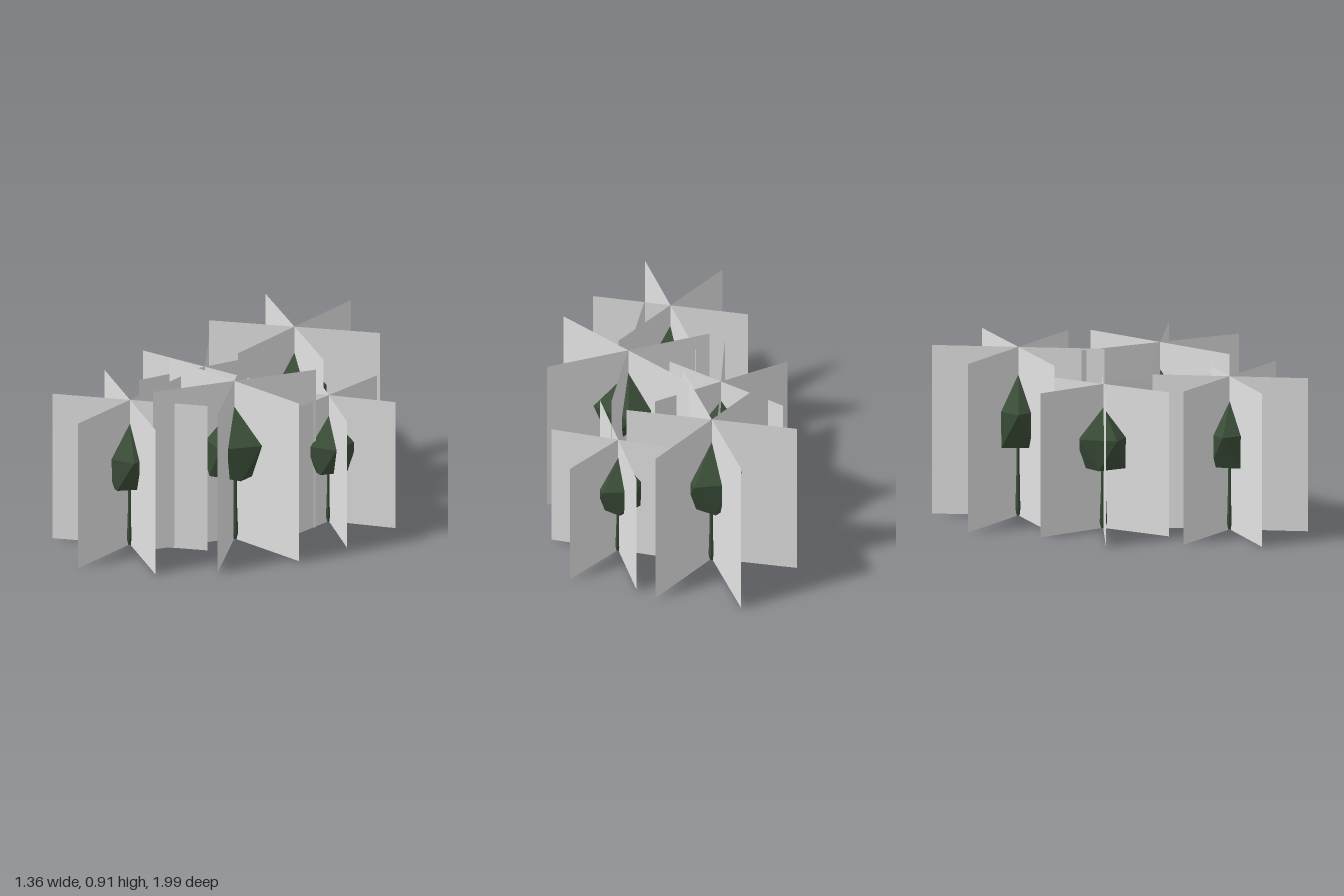
import * as THREE from 'three';

const leafGreen = new THREE.MeshStandardMaterial({ color: 0x3a4d38, flatShading: true });
leafGreen.name = 'leafGreen';
const cardGrey = new THREE.MeshStandardMaterial({ color: 0xe2e2e2, side: THREE.DoubleSide });
cardGrey.name = 'cardGrey';

// Each tree: centre x, z, base y, card height, turn in degrees
const TREES = [
  [-0.085, -0.546, 0.01, 0.908, 29.3],
  [0.354, -0.317, 0.01, 0.72, 33.4],
  [-0.296, -0.077, 0.007, 0.776, 292],
  [0.13, 0.177, 0.01, 0.9, 0],
  [-0.241, 0.582, 0.003, 0.825, 330],
];

// Five-sided crown: peak, wide ring, and a narrower lower ring turned half a step
function crownGeometry() {
  const n = 5, pos = [0, 0.836, 0], idx = [];
  const ring = (r, y, turn) => {
    for (let i = 0; i < n; i++) {
      const a = ((i + turn) / n) * Math.PI * 2;
      pos.push(Math.cos(a) * r, y, Math.sin(a) * r);
    }
  };
  ring(0.2135, 0.648, 0);
  ring(0.168, 0.434, 0.5);
  pos.push(0, 0.434, 0);
  for (let i = 0; i < n; i++) {
    const j = (i + 1) % n;
    const a = 1 + i, b = 1 + j, c = 1 + n + i, d = 1 + n + j;
    idx.push(0, b, a, a, b, c, c, b, d, c, d, 1 + 2 * n);
  }
  const indexed = new THREE.BufferGeometry();
  indexed.setAttribute('position', new THREE.Float32BufferAttribute(pos, 3));
  indexed.setIndex(idx);
  const g = indexed.toNonIndexed();
  g.computeVertexNormals();
  return g;
}

// Slim trunk, swelling near the ground
function trunkGeometry() {
  const profile = [[0, 0], [0.02, 0.003], [0.033, 0.045], [0.03, 0.12], [0.023, 0.25], [0.021, 0.44]];
  return new THREE.LatheGeometry(profile.map(([r, y]) => new THREE.Vector2(r, y)), 6);
}

export function createModel() {
  const model = new THREE.Group();
  model.name = 'treeGrove';
  const crownGeo = crownGeometry();
  const trunkGeo = trunkGeometry();
  const cardGeo = new THREE.PlaneGeometry(1, 1).translate(0, 0.5, 0);

  TREES.forEach(([x, z, y, height, turn], i) => {
    const tree = new THREE.Group();
    tree.name = `tree${i + 1}`;
    const add = (name, geometry, material) => {
      const mesh = new THREE.Mesh(geometry, material);
      mesh.name = name;
      tree.add(mesh);
      return mesh;
    };
    add('crown', crownGeo, leafGreen);
    add('trunk', trunkGeo, leafGreen);
    // Three square foliage cards crossing on the trunk axis
    for (let k = 0; k < 3; k++) {
      add(`foliageCard${k + 1}`, cardGeo, cardGrey).rotation.y = (k * Math.PI) / 3;
    }
    tree.position.set(x, y, z);
    tree.scale.setScalar(height);
    tree.rotation.y = -THREE.MathUtils.degToRad(turn);
    model.add(tree);
  });
  return model;
}
